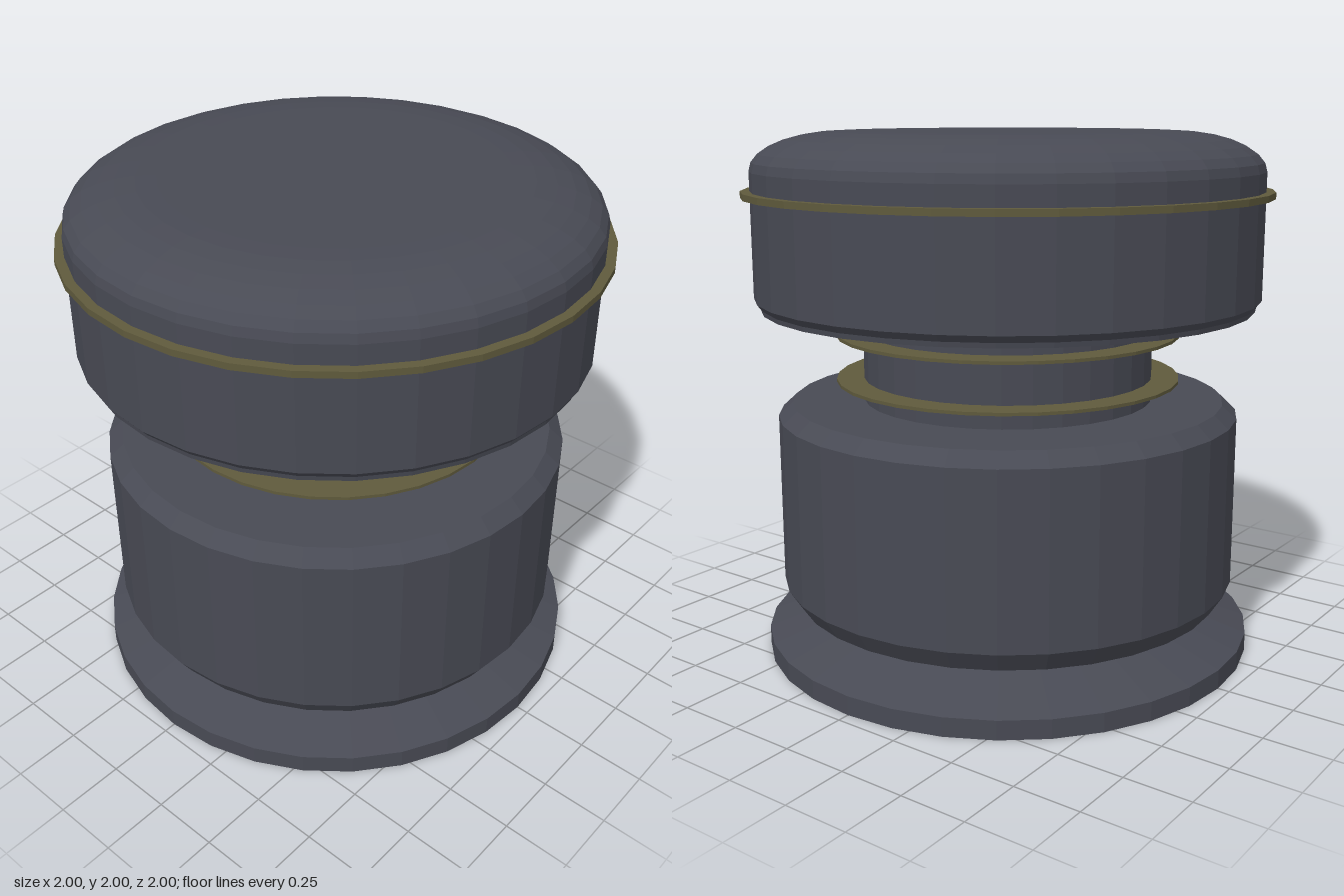
import * as THREE from 'three';

const SEGMENTS = 32;
const dark = new THREE.MeshStandardMaterial({ color: 0x484a54, flatShading: true });
const brass = new THREE.MeshStandardMaterial({ color: 0x5f5a3c, flatShading: true });

// Revolve a profile of [radius, height] pairs, listed from the bottom up
function turned(name, profile, material) {
  const points = profile.map(([r, y]) => new THREE.Vector2(r, y));
  const mesh = new THREE.Mesh(new THREE.LatheGeometry(points, SEGMENTS), material);
  mesh.name = name;
  return mesh;
}

// Flat washer-like ring with a closed rectangular section
function ring(name, inner, outer, y, height) {
  const lo = y - height / 2, hi = y + height / 2;
  return turned(name, [[inner, lo], [outer, lo], [outer, hi], [inner, hi], [inner, lo]], brass);
}

export function createModel() {
  const group = new THREE.Group();
  group.name = 'turnedKnob';

  // Flared foot with a blind bore opening downwards
  group.add(turned('foot', [
    [0, 0.49], [0.556, 0.49], [0.556, 0], [0.955, 0], [0.955, 0.072], [0.71, 0.155],
  ], dark));

  // Chamfered drum, closed on top up to the neck
  group.add(turned('drum', [
    [0.71, 0.155], [0.84, 0.2], [0.89, 0.278], [0.89, 0.93], [0.835, 0.98], [0.56, 0.98],
  ], dark));

  group.add(turned('neck', [[0.56, 0.98], [0.56, 1.316]], dark));

  // Wide head with a softly rounded top edge
  const head = [[0.56, 1.316], [0.942, 1.342], [0.945, 1.36], [0.965, 1.385], [0.965, 1.855]];
  const steps = 7;
  for (let i = 1; i <= steps; i++) {
    const a = (i / steps) * Math.PI / 2;
    head.push([0.625 + 0.34 * Math.cos(a), 1.855 + 0.145 * Math.sin(a)]);
  }
  head.push([0, 2]);
  group.add(turned('head', head, dark));

  // Trim rings
  group.add(ring('headRing', 0.94, 1, 1.771, 0.024));
  group.add(ring('upperNeckRing', 0.54, 0.665, 1.239, 0.012));
  group.add(ring('lowerNeckRing', 0.54, 0.665, 1.06, 0.012));

  return group;
}
